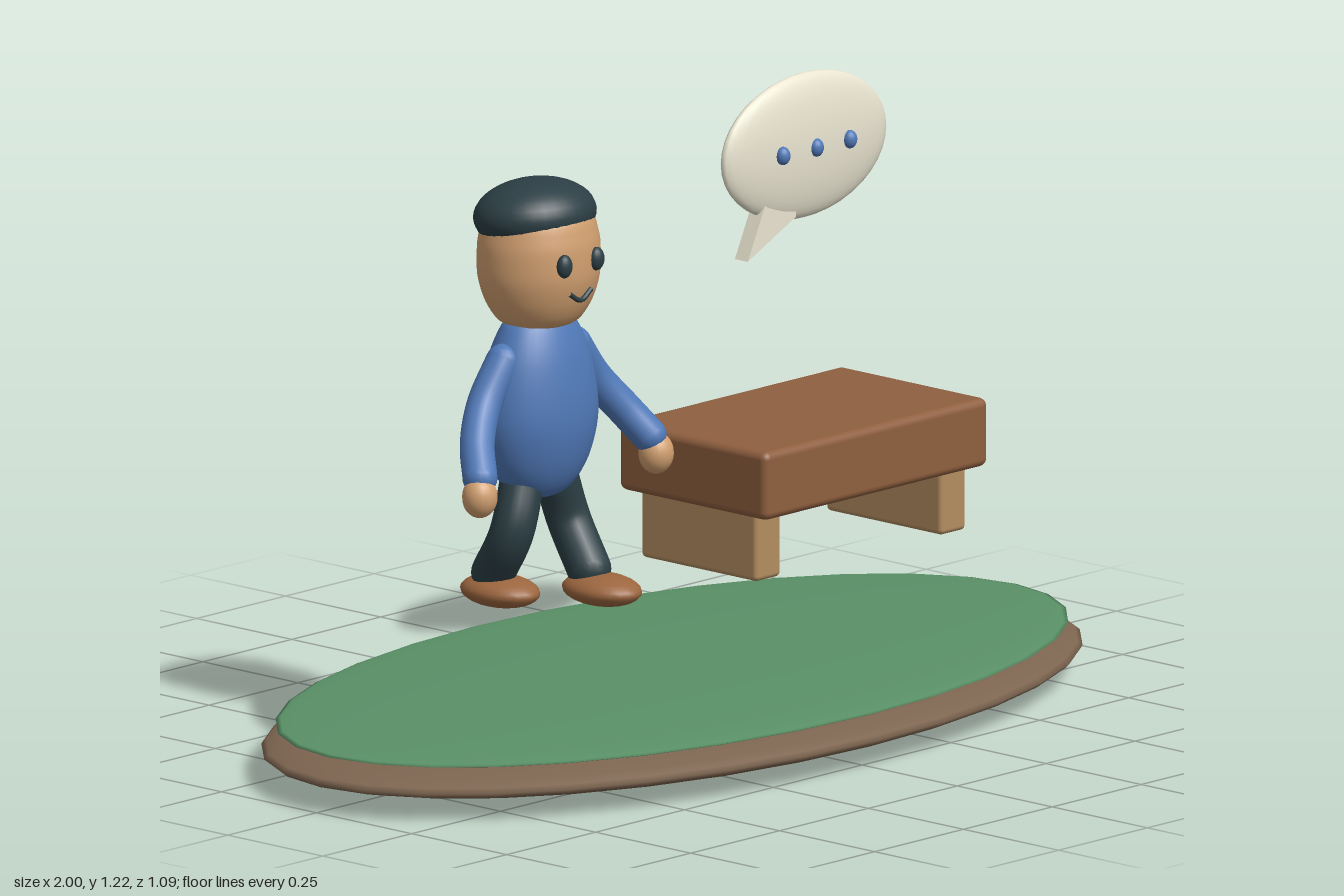
import * as THREE from 'three';
import { RoundedBoxGeometry } from 'three/addons/geometries/RoundedBoxGeometry.js';

const mat = (color) => new THREE.MeshStandardMaterial({ color });
const M = {
  grass: mat(0x5a9167), earth: mat(0x7d6550), wood: mat(0x8f5f3f), paleWood: mat(0xb38d60),
  skin: mat(0xd2a070), shirt: mat(0x5079b8), dark: mat(0x2c3f45), shoe: mat(0x9c663f), bubble: mat(0xe9e4d0),
};

function add(parent, name, geometry, material, x = 0, y = 0, z = 0) {
  const mesh = new THREE.Mesh(geometry, material);
  mesh.name = name;
  mesh.position.set(x, y, z);
  parent.add(mesh);
  return mesh;
}

const ellipsoid = (rx, ry, rz, w = 32, h = 20) => new THREE.SphereGeometry(1, w, h).scale(rx, ry, rz);

// Smooth body of revolution through a few profile points, flattened in depth
function turned(points, depth) {
  const curve = new THREE.SplineCurve(points.map(([r, y]) => new THREE.Vector2(r, y)));
  const profile = curve.getPoints(32).map((p) => new THREE.Vector2(Math.max(p.x, 0), p.y));
  return new THREE.LatheGeometry(profile, 36).scale(1, 1, depth);
}

// Curved limb with rounded ends
function limb(parent, name, points, radius, material) {
  const group = new THREE.Group();
  group.name = name;
  const pts = points.map((p) => new THREE.Vector3(...p));
  add(group, name + 'Tube', new THREE.TubeGeometry(new THREE.CatmullRomCurve3(pts), 20, radius, 16), material);
  for (const p of [pts[0], pts[pts.length - 1]]) {
    add(group, name + 'End', new THREE.SphereGeometry(radius, 16, 12), material, p.x, p.y, p.z);
  }
  parent.add(group);
}

function createPerson() {
  const person = new THREE.Group();
  person.name = 'person';

  add(person, 'torso', turned([[0, 0.515], [0.06, 0.527], [0.105, 0.575], [0.13, 0.645], [0.133, 0.71],
    [0.117, 0.79], [0.09, 0.85], [0.065, 0.873], [0, 0.878]], 0.71), M.shirt);

  // Head, cap of hair and face
  add(person, 'head', turned([[0, 0.852], [0.07, 0.862], [0.102, 0.895], [0.121, 0.945], [0.125, 0.99],
    [0.12, 1.04], [0.095, 1.09], [0, 1.12]], 0.92), M.skin);
  const hair = add(person, 'hair', ellipsoid(0.126, 0.07, 0.113), M.dark, 0, 1.073, -0.01);
  hair.rotation.x = -0.1;
  const smile = new THREE.CatmullRomCurve3([[-0.031, 0.938, 0.109], [0, 0.921, 0.111], [0.031, 0.938, 0.109]]
    .map((p) => new THREE.Vector3(...p)));
  add(person, 'mouth', new THREE.TubeGeometry(smile, 16, 0.005, 8), M.dark);

  // Eyes, arms and hands are mirrored
  for (const s of [-1, 1]) {
    const side = s > 0 ? 'left' : 'right';
    add(person, side + 'Eye', ellipsoid(0.017, 0.023, 0.014, 16, 12), M.dark, s * 0.045, 0.995, 0.11);
    limb(person, side + 'Arm', [[s * 0.1, 0.8, 0], [s * 0.155, 0.725, 0.002], [s * 0.205, 0.66, 0.03],
      [s * 0.238, 0.605, 0.068]], 0.034, M.shirt);
    add(person, side + 'Hand', ellipsoid(0.035, 0.041, 0.034, 20, 14), M.skin, s * 0.248, 0.57, 0.077);
  }

  // Walking stance: left foot forward, right foot back
  limb(person, 'leftLeg', [[0.045, 0.56, 0], [0.078, 0.46, 0.005], [0.072, 0.37, 0.065]], 0.043, M.dark);
  limb(person, 'rightLeg', [[-0.045, 0.56, 0], [-0.081, 0.46, 0.005], [-0.074, 0.37, -0.05]], 0.043, M.dark);
  add(person, 'leftShoe', ellipsoid(0.063, 0.031, 0.088, 24, 14), M.shoe, 0.071, 0.336, 0.1);
  add(person, 'rightShoe', ellipsoid(0.063, 0.031, 0.088, 24, 14), M.shoe, -0.071, 0.336, -0.035);

  person.position.x = -0.375;
  return person;
}

function createBench() {
  const bench = new THREE.Group();
  bench.name = 'bench';
  add(bench, 'benchTop', new RoundedBoxGeometry(0.63, 0.135, 0.39, 3, 0.016), M.wood, 0, 0.487, 0);
  for (const s of [-1, 1]) {
    add(bench, 'benchLeg', new RoundedBoxGeometry(0.072, 0.15, 0.305, 3, 0.01), M.paleWood, s * 0.26, 0.365, 0);
  }
  bench.position.x = 0.37;
  return bench;
}

function createSpeechBubble() {
  const bubble = new THREE.Group();
  bubble.name = 'speechBubble';
  add(bubble, 'bubbleBody', ellipsoid(0.23, 0.143, 0.035), M.bubble, 0, 1.078, 0);
  // Flat triangular pointer
  const tail = new THREE.Shape([[-0.175, 0.88], [-0.04, 0.945], [-0.04, 0.98], [-0.125, 0.985]]
    .map((p) => new THREE.Vector2(...p)));
  add(bubble, 'bubbleTail', new THREE.ExtrudeGeometry(tail, { depth: 0.034, bevelEnabled: false }), M.bubble, 0, 0, -0.017);
  for (const x of [-0.094, 0, 0.094]) {
    add(bubble, 'bubbleDot', ellipsoid(0.015, 0.018, 0.014, 16, 12), M.shirt, x, 1.078, 0.034);
  }
  bubble.position.x = 0.37;
  return bubble;
}

export function createModel() {
  const model = new THREE.Group();
  model.name = 'parkScene';
  // Oval island of earth topped with grass
  add(model, 'earthBase', ellipsoid(1, 0.057, 0.545), M.earth, 0, 0.057, 0);
  add(model, 'grass', ellipsoid(0.968, 0.018, 0.522), M.grass, 0, 0.104, 0);
  model.add(createPerson(), createBench(), createSpeechBubble());
  return model;
}
